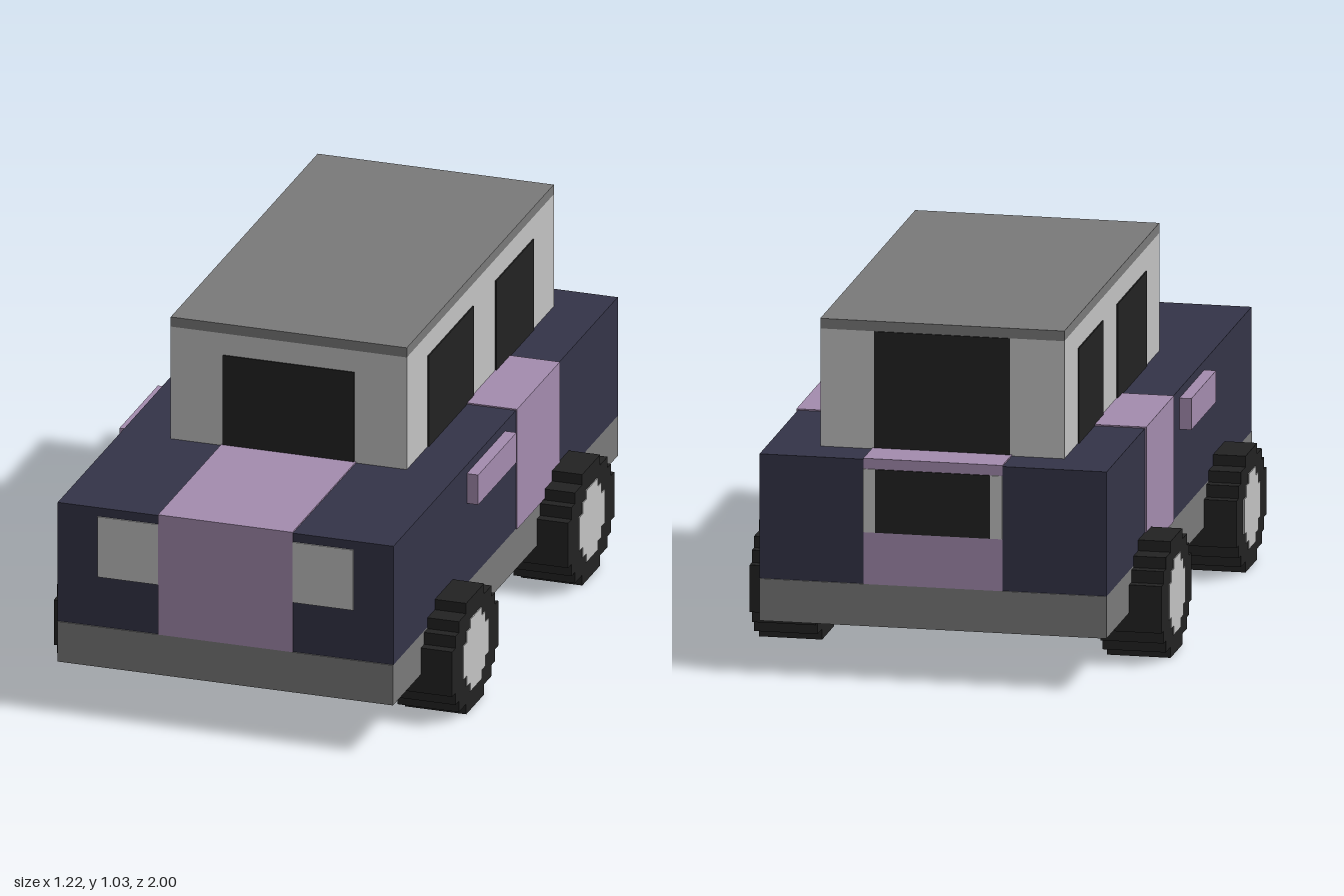
import * as THREE from 'three';

const material = (name, color) => {
  const m = new THREE.MeshStandardMaterial({ color });
  m.name = name;
  return m;
};

// Closed stepped outline from quarter steps [halfWidth, halfHeight], listed top to side
function steppedShape(steps) {
  const quarter = [];
  steps.forEach(([w, h], i) => {
    quarter.push([w, h]);
    if (i + 1 < steps.length) quarter.push([w, steps[i + 1][1]]);
  });
  const back = [...quarter].reverse();
  const points = [
    ...quarter,
    ...back.map(([x, y]) => [x, -y]),
    ...quarter.map(([x, y]) => [-x, -y]),
    ...back.map(([x, y]) => [-x, y]),
  ];
  return new THREE.Shape(points.map(([x, y]) => new THREE.Vector2(x, y)));
}

// Stepped disc with its axle along x, centred on the origin
function steppedDisc(steps, width) {
  const geometry = new THREE.ExtrudeGeometry(steppedShape(steps), { depth: width, bevelEnabled: false });
  geometry.translate(0, 0, -width / 2);
  geometry.rotateY(Math.PI / 2);
  return geometry;
}

export function createModel() {
  const model = new THREE.Group();
  model.name = 'car';

  const navy = material('navy paint', 0x343448);
  const lilac = material('lilac paint', 0xa48caf);
  const light = material('light grey', 0xc3c3c3);
  const grey = material('mid grey', 0x7a7a7a);
  const black = material('black', 0x222222);

  // Box given by its limits on each axis
  const box = (name, mat, [x0, x1], [y0, y1], [z0, z1]) => {
    const mesh = new THREE.Mesh(new THREE.BoxGeometry(x1 - x0, y1 - y0, z1 - z0), mat);
    mesh.position.set((x0 + x1) / 2, (y0 + y1) / 2, (z0 + z1) / 2);
    mesh.name = name;
    model.add(mesh);
  };
  // The same box on the left and the right
  const pair = (name, mat, [x0, x1], y, z) => {
    box(name + 'Left', mat, [x0, x1], y, z);
    box(name + 'Right', mat, [-x1, -x0], y, z);
  };

  const T = 0.004; // thickness of painted plates
  const W = 0.512, C = 0.36; // half widths of body and cabin
  const base = 0.285, deck = 0.655;
  const front = 0.996, cabFront = 0.435, cabBack = -0.87;

  // Chassis, body, cabin and roof
  box('chassis', grey, [-W, W], [0.16, base], [-front - T, front + T]);
  box('body', navy, [-W, W], [base, deck], [-front, front]);
  box('cabin', light, [-C, C], [deck, 1.005], [cabBack, cabFront]);
  box('roof', grey, [-C, C], [1.005, 1.035], [cabBack, cabFront]);

  // Centre stripe over bonnet, nose, boot and tail
  const stripe = [-0.205, 0.205];
  box('bonnetStripe', lilac, stripe, [deck, deck + T], [cabFront, front + T]);
  box('bootStripe', lilac, stripe, [deck, deck + T], [-front - T, cabBack]);
  box('noseStripe', lilac, stripe, [base, deck], [front, front + T]);
  box('tailStripe', lilac, stripe, [base, deck], [-front - T, -front]);

  // Side bands, wrapped over the shoulders, and side mirrors
  const band = [-0.47, -0.09];
  pair('sideBand', lilac, [W, W + T], [base, deck], band);
  pair('shoulderBand', lilac, [C, W + T], [deck, deck + T], band);
  pair('sideMirror', lilac, [W, 0.547], [0.535, 0.628], [0.005, 0.345]);

  // Headlights, tail lights and rear plate
  const lampY = [0.44, 0.628];
  pair('headlight', light, [0.205, 0.39], lampY, [front, front + T]);
  pair('tailLight', light, [0.17, 0.205], lampY, [-front - 2 * T, -front - T]);
  box('rearPlate', black, [-0.17, 0.17], lampY, [-front - 2 * T, -front - T]);

  // Windows
  const glassY = [deck, 0.938];
  box('windscreen', black, [-0.2, 0.2], glassY, [cabFront, cabFront + T]);
  box('rearWindow', black, [-0.2, 0.2], [deck, 1.005], [cabBack - T, cabBack]);
  pair('frontSideWindow', black, [C, C + T], glassY, [-0.15, 0.25]);
  pair('rearSideWindow', black, [C, C + T], glassY, [-0.685, -0.35]);

  // Wheels with hubs on both faces
  const tyreGeo = steppedDisc([[0.08, 0.173], [0.145, 0.141], [0.175, 0.107], [0.205, 0.07]], 0.187);
  const hubGeo = steppedDisc([[0.05, 0.112], [0.082, 0.085], [0.112, 0.052]], 0.193);
  for (const [side, x] of [['Left', 0.514], ['Right', -0.514]]) {
    for (const [end, z] of [['front', 0.548], ['rear', -0.482]]) {
      const wheel = new THREE.Group();
      wheel.name = end + 'Wheel' + side;
      const tyre = new THREE.Mesh(tyreGeo, black);
      tyre.name = 'tyre';
      const hub = new THREE.Mesh(hubGeo, light);
      hub.name = 'hub';
      wheel.add(tyre, hub);
      wheel.position.set(x, 0.173, z);
      model.add(wheel);
    }
  }
  return model;
}
